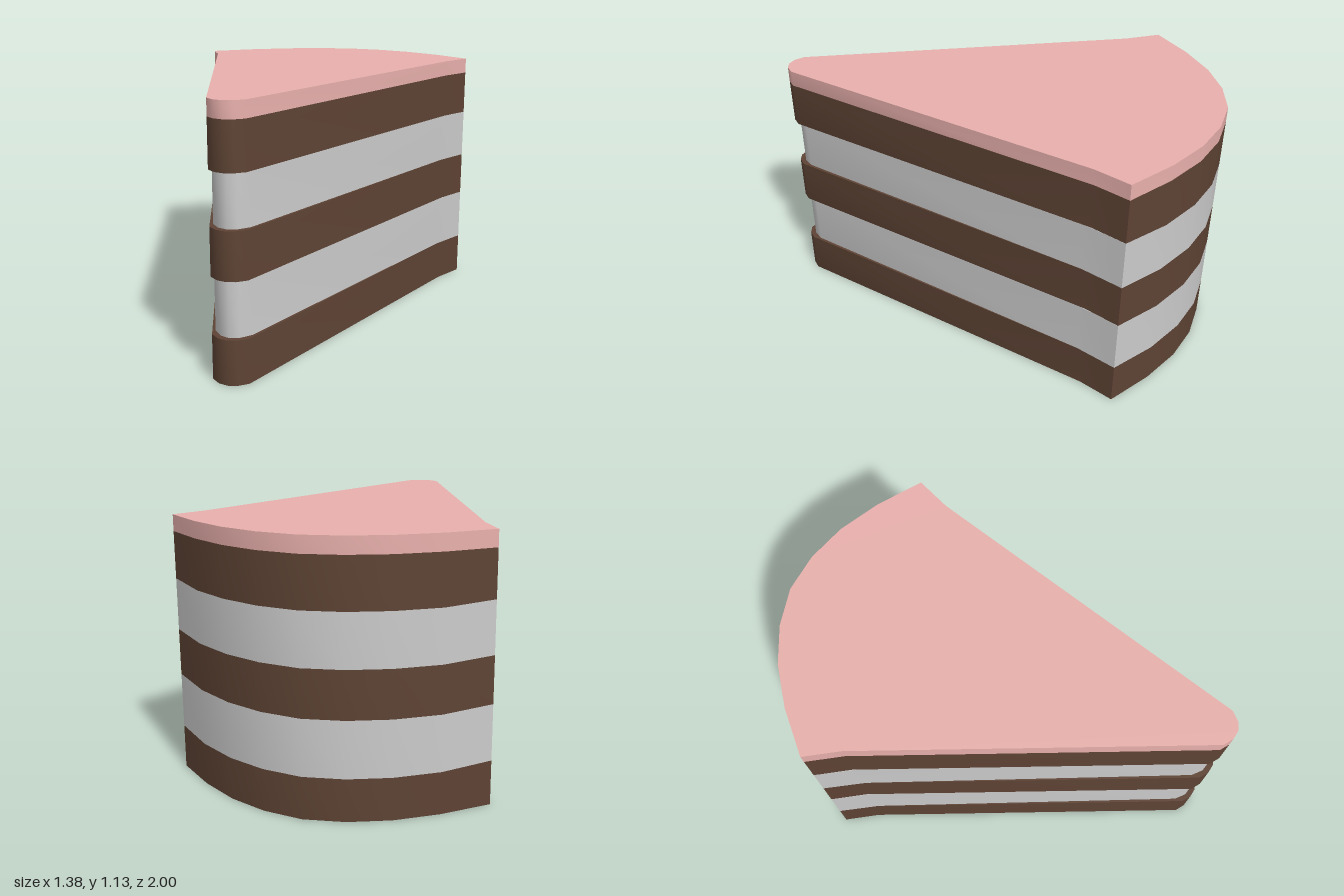
import * as THREE from 'three';
import { toCreasedNormals } from 'three/addons/utils/BufferGeometryUtils.js';

// Half outlines as [x, z], from the rounded tip to the back corner
const spongeSide = [[0, 1], [0.04, 0.99], [0.078, 0.958], [0.61, -0.505]];
const creamSide = [[0, 0.975], [0.04, 0.962], [0.078, 0.92], [0.6, -0.48]];
// Curved back shared by every layer
const back = [[0.688, -0.655], [0.515, -0.8], [0.345, -0.907], [0.175, -0.973], [0, -1]];

function wedgeShape(side) {
  const half = [...side, ...back];
  const mirrored = half.slice(1, -1).reverse().map(([x, z]) => [-x, z]);
  // shape y becomes -z once the extrusion is stood upright
  return new THREE.Shape([...half, ...mirrored].map(([x, z]) => new THREE.Vector2(x, -z)));
}

// One slab between two heights; inner seams sag slightly along the back
function layer(name, side, y0, y1, color) {
  const geo = new THREE.ExtrudeGeometry(wedgeShape(side), { depth: y1 - y0, bevelEnabled: false });
  geo.rotateX(-Math.PI / 2);
  geo.translate(0, y0, 0);
  const p = geo.attributes.position;
  for (let i = 0; i < p.count; i++) {
    const y = p.getY(i);
    if (p.getZ(i) < -0.75 && y > 0.1 && y < 1) p.setY(i, y - 0.011);
  }
  const mesh = new THREE.Mesh(
    toCreasedNormals(geo, 0.7),
    new THREE.MeshStandardMaterial({ color })
  );
  mesh.name = name;
  return mesh;
}

export function createModel() {
  const cake = new THREE.Group();
  cake.name = 'cakeSlice';
  const brown = 0x5e4334, grey = 0xcccccc, pink = 0xe8b0ac;
  cake.add(
    layer('bottomSponge', spongeSide, 0, 0.192, brown),
    layer('lowerCream', creamSide, 0.192, 0.433, grey),
    layer('middleSponge', spongeSide, 0.433, 0.636, brown),
    layer('upperCream', creamSide, 0.636, 0.861, grey),
    layer('topSponge', spongeSide, 0.861, 1.064, brown),
    layer('icing', spongeSide, 1.064, 1.135, pink)
  );
  return cake;
}
